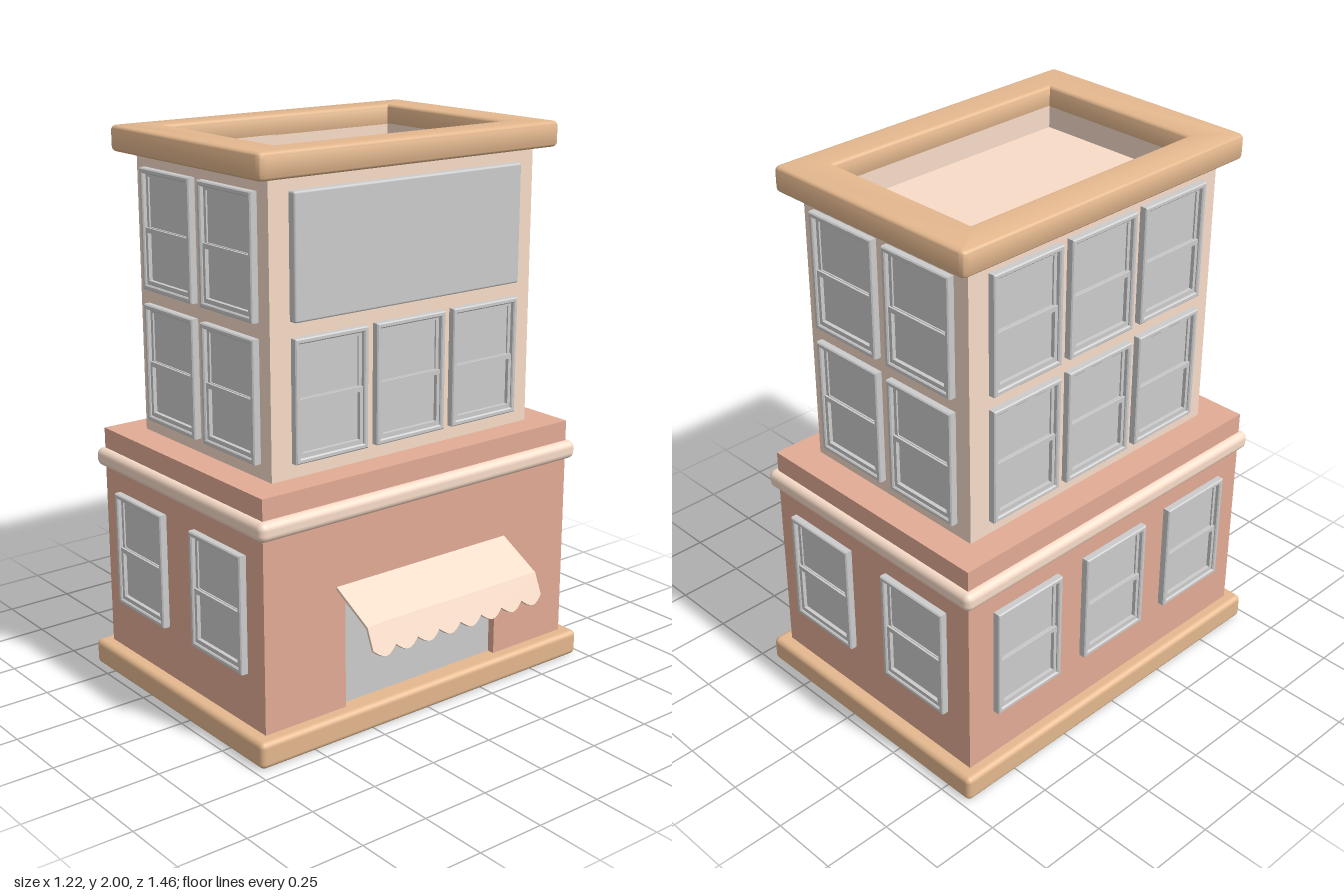
import * as THREE from 'three';
import { RoundedBoxGeometry } from 'three/addons/geometries/RoundedBoxGeometry.js';
import { toCreasedNormals } from 'three/addons/utils/BufferGeometryUtils.js';

const material = (color) => new THREE.MeshStandardMaterial({ color });
const grey = material(0xcccccc);
const tan = material(0xe4b88e);
const brick = material(0xe2ab95);
const cream = material(0xf8dcc8);
const CX = -0.081; // centre line of the building

function add(parent, name, geometry, mat, x = 0, y = 0, z = 0) {
  const mesh = new THREE.Mesh(geometry, mat);
  mesh.name = name;
  mesh.position.set(x, y, z);
  parent.add(mesh);
  return mesh;
}

// Rectangle outline with optional rounded corners
function rect(w, h, r = 0, Type = THREE.Shape) {
  const s = new Type(), a = w / 2, b = h / 2;
  if (!r) {
    s.moveTo(-a, -b).lineTo(a, -b).lineTo(a, b).lineTo(-a, b).closePath();
    return s;
  }
  s.absarc(a - r, b - r, r, 0, Math.PI / 2);
  s.absarc(r - a, b - r, r, Math.PI / 2, Math.PI);
  s.absarc(r - a, r - b, r, Math.PI, Math.PI * 1.5);
  s.absarc(a - r, r - b, r, Math.PI * 1.5, Math.PI * 2);
  return s;
}

// Rectangular frame with bevelled edges, back face at z = 0
function ring(w, h, holeW, holeH, depth, bevel, segments = 1, r = 0) {
  const s = rect(w, h, r);
  s.holes.push(rect(holeW, holeH, 0, THREE.Path));
  const g = new THREE.ExtrudeGeometry(s, {
    depth: depth - 2 * bevel, bevelEnabled: bevel > 0, bevelSize: bevel,
    bevelThickness: bevel, bevelOffset: -bevel, bevelSegments: segments, curveSegments: 4,
  });
  g.translate(0, 0, bevel);
  return toCreasedNormals(g, 0.6);
}

// Sash window parts, shared by all windows
const W = 0.3, H = 0.42;
const casing = ring(W, H, W - 0.036, H - 0.036, 0.03, 0.004);
const upperSash = ring(W - 0.034, 0.2, W - 0.062, 0.172, 0.014, 0);
const lowerSash = ring(W - 0.034, 0.2, W - 0.062, 0.166, 0.022, 0);
const pane = new THREE.BoxGeometry(W - 0.03, H - 0.03, 0.008);

function sashWindow() {
  const g = new THREE.Group();
  g.name = 'sashWindow';
  add(g, 'casing', casing, grey);
  add(g, 'pane', pane, grey, 0, 0, 0.004);
  add(g, 'upperSash', upperSash, grey, 0, 0.094, 0);
  add(g, 'lowerSash', lowerSash, grey, 0, -0.094, 0);
  return g;
}

// Awning panel hanging from a hinge line, with an optional scalloped hem
function awningPanel(width, length, angle, scallops) {
  const s = new THREE.Shape(), a = width / 2;
  s.moveTo(a, 0).lineTo(-a, 0);
  if (scallops) {
    const step = width / scallops, sag = 0.027;
    for (let i = 0; i < scallops; i++)
      for (let k = 0; k <= 8; k++)
        if (i === 0 || k > 0)
          s.lineTo(-a + (i + k / 8) * step, -length + sag - sag * Math.sin(Math.PI * k / 8));
  } else s.lineTo(-a, -length).lineTo(a, -length);
  s.closePath();
  const g = new THREE.ExtrudeGeometry(s, { depth: 0.01, bevelEnabled: false });
  g.translate(0, 0, -0.01).rotateY(Math.PI / 2).rotateZ(angle);
  return g;
}

export function createModel() {
  const model = new THREE.Group();
  model.name = 'building';

  // Plinth and ground floor
  add(model, 'plinth', new RoundedBoxGeometry(1.063, 0.095, 1.455, 3, 0.02), tan, CX, 0.0475, 0);
  add(model, 'groundFloor', new THREE.BoxGeometry(0.937, 0.85, 1.356), brick, -0.0985, 0.495, 0);

  // Shop wall with a shallow opening
  const wall = new THREE.Shape();
  [[-0.678, 0.07], [-0.343, 0.07], [-0.343, 0.48], [0.343, 0.48], [0.343, 0.07],
    [0.678, 0.07], [0.678, 0.92], [-0.678, 0.92]]
    .forEach(([u, v], i) => (i ? wall.lineTo(u, v) : wall.moveTo(u, v)));
  const wallGeometry = new THREE.ExtrudeGeometry(wall, { depth: 0.032, bevelEnabled: false });
  add(model, 'shopWall', wallGeometry.rotateY(Math.PI / 2), brick, 0.37, 0, 0);
  add(model, 'shopFront', new THREE.BoxGeometry(0.006, 0.4, 0.686), grey, 0.371, 0.28, 0);

  // Moulding band around the ground floor
  add(model, 'band', new RoundedBoxGeometry(1.026, 0.067, 1.41, 4, 0.025), cream, CX, 0.812, 0);

  // Upper floors, parapet around the sunken roof, and cornice
  add(model, 'upperFloors', new THREE.BoxGeometry(0.762, 0.94, 1.132), cream, CX, 1.38, 0);
  const parapet = ring(0.762, 1.132, 0.622, 0.972, 0.08, 0).rotateX(-Math.PI / 2);
  add(model, 'parapet', parapet, cream, CX, 1.85, 0);
  const cornice = ring(0.877, 1.276, 0.622, 0.972, 0.09, 0.018, 4, 0.022).rotateX(-Math.PI / 2);
  add(model, 'cornice', cornice, tan, CX, 1.91, 0);

  // Windows: place one on a wall facing the given angle
  const place = (x, y, z, turn) => {
    const w = sashWindow();
    w.position.set(x, y, z);
    w.rotation.y = turn;
    model.add(w);
  };
  const low = 0.495, mid = 1.183, high = 1.655;
  for (const [side, turn] of [[1, 0], [-1, Math.PI]]) {
    for (const x of [-0.316, 0.16]) place(x, low, side * 0.678, turn);
    for (const x of [-0.254, 0.095])
      for (const y of [mid, high]) place(x, y, side * 0.566, turn);
  }
  for (const i of [-1, 0, 1]) {
    place(-0.567, low, i * 0.42, -Math.PI / 2);
    place(-0.462, mid, i * 0.337, -Math.PI / 2);
    place(-0.462, high, i * 0.337, -Math.PI / 2);
    place(0.3, mid, i * 0.337, Math.PI / 2);
  }

  // Plain panel above the shop side
  add(model, 'signPanel', new RoundedBoxGeometry(0.06, H, 0.974, 2, 0.008), grey, 0.3, high, 0);

  // Awning with scalloped valance
  add(model, 'awningTop', awningPanel(0.762, 0.188, 1.07, 0), cream, 0.4, 0.546, 0);
  add(model, 'awningValance', awningPanel(0.762, 0.108, 0.4, 8), cream, 0.565, 0.457, 0);

  return model;
}
